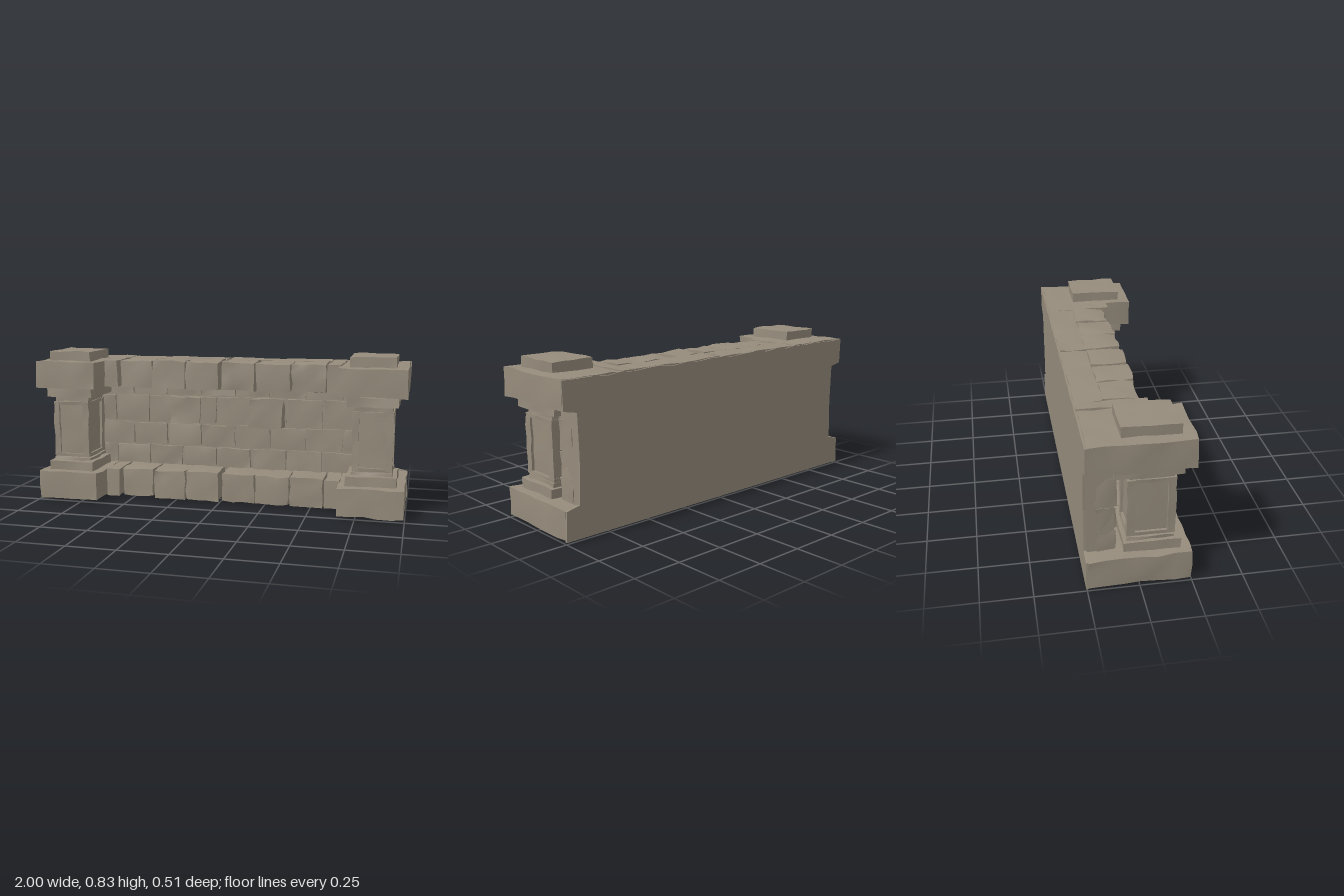
import * as THREE from 'three';
import { toCreasedNormals } from 'three/addons/utils/BufferGeometryUtils.js';

const stone = new THREE.MeshStandardMaterial({ color: 0x968c7c });
stone.name = 'weathered stone';

// Repeatable value 0..1 from a position
function hash(x, y, z) {
  const s = Math.sin(x * 127.1 + y * 311.7 + z * 74.7) * 43758.5453;
  return s - Math.floor(s);
}

// Hewn block between two corners: every surface point is worn slightly inward,
// and edges are worn more than faces
function block(name, x0, x1, y0, y1, z0, z1, wear = 0.007) {
  const lo = [Math.min(x0, x1), y0, z0];
  const hi = [Math.max(x0, x1), y1, z1];
  const size = hi.map((v, i) => v - lo[i]);
  const seg = size.map((s) => Math.max(1, Math.min(6, Math.round(s / 0.065))));
  const geo = new THREE.BoxGeometry(...size, ...seg);
  geo.translate(...lo.map((v, i) => (v + hi[i]) / 2));
  const pos = geo.attributes.position;
  for (let i = 0; i < pos.count; i++) {
    const p = [pos.getX(i), pos.getY(i), pos.getZ(i)].map((v) => Math.round(v * 1e4) / 1e4);
    const side = p.map((v, a) => (Math.abs(v - lo[a]) < 1e-3 ? 1 : Math.abs(v - hi[a]) < 1e-3 ? -1 : 0));
    const onEdge = side.filter((s) => s !== 0).length > 1;
    const q = p.map((v, a) => v + side[a] * wear * (onEdge ? 1 : 0.55) * hash(p[a], p[(a + 1) % 3], p[(a + 2) % 3]));
    pos.setXYZ(i, ...q);
  }
  const mesh = new THREE.Mesh(toCreasedNormals(geo, 0.5), stone);
  mesh.name = name;
  return mesh;
}

// Pillar with sunk panels; s is +1 for the left side and -1 for the right
function pillar(s) {
  const g = new THREE.Group();
  g.name = s > 0 ? 'leftPillar' : 'rightPillar';
  const add = (name, x0, x1, ...rest) => g.add(block(name, s * x0, s * x1, ...rest));
  add('pillarFoot', 0.69, 0.955, 0.16, 0.217, -0.072, 0.205);
  add('pillarLowerNeck', 0.715, 0.935, 0.21, 0.24, -0.058, 0.175, 0.01);
  add('pillarCore', 0.735, 0.917, 0.23, 0.55, -0.042, 0.165, 0.005);
  for (const [x0, x1] of [[0.72, 0.76], [0.892, 0.932]]) {
    add('pillarPost', x0, x1, 0.237, 0.547, 0.135, 0.18);
    add('pillarPost', x0, x1, 0.237, 0.547, -0.057, -0.012);
  }
  for (const y of [0.235, 0.525]) add('pillarRail', 0.722, 0.93, y, y + 0.022, -0.055, 0.178, 0.004);
  add('pillarUpperNeck', 0.725, 0.925, 0.54, 0.578, -0.05, 0.165);
  add('pillarCollar', 0.69, 0.955, 0.57, 0.627, -0.12, 0.207);
  return g;
}

// One full course (base or coping) with stepped-forward ends
function course(name, y0, y1) {
  const g = new THREE.Group();
  g.name = name;
  for (const s of [-1, 1]) {
    g.add(block('endBlock', s * 0.65, s * 1, y0 + 0.008, y1, -0.25, 0.253, 0.01));
    g.add(block('stepBlock', s * 0.575, s * 0.655, y0 + 0.006, y1, -0.25, 0.108));
    g.add(block('innerBack', s * 0.003, s * 0.58, y0 + 0.004, y1, -0.25, -0.105));
    for (let i = 0; i < 3; i++) {
      const a = 0.006 + i * 0.188;
      const front = 0.07 + 0.018 * hash(i, s, y1);
      g.add(block('frontStone', s * a, s * (a + 0.191), y0, y1 + 0.004 * hash(s, i, y0), -0.113, front, 0.012));
    }
  }
  return g;
}

// Wall infill: staggered rows of stones of uneven depth
function wall() {
  const g = new THREE.Group();
  g.name = 'wall';
  g.add(block('wallCore', -0.915, 0.915, 0.15, 0.64, -0.25, -0.11, 0.003));
  const rows = [0.155, 0.275, 0.405, 0.565, 0.635];
  for (let r = 0; r < rows.length - 1; r++) {
    const edges = [-0.92];
    for (let x = r % 2 ? -0.75 : -0.86; x < 0.88; x += 0.2) edges.push(x);
    edges.push(0.92);
    for (let i = 0; i < edges.length - 1; i++) {
      const front = -0.092 + 0.012 * (hash(i, r, 3) - 0.5);
      g.add(block('wallStone', edges[i], edges[i + 1], rows[r], rows[r + 1], -0.2, front, 0.011));
    }
  }
  // Stones that stand proud of the face
  g.add(block('proudStone', 0.13, 0.33, 0.395, 0.57, -0.15, -0.035, 0.014));
  g.add(block('proudStone', -0.34, -0.15, 0.4, 0.565, -0.15, -0.07, 0.014));
  return g;
}

// Smooth flush back with a chipped top edge
function backFace() {
  const s = new THREE.Shape();
  s.moveTo(-1, 0.01);
  for (const [x, y] of [[1, 0.01], [0.995, 0.16], [0.922, 0.175], [0.915, 0.4], [0.922, 0.615], [0.995, 0.63], [1, 0.772]]) s.lineTo(x, y);
  for (let i = 1; i < 24; i++) s.lineTo(1 - i / 12, 0.774 - 0.012 * hash(i, 2, 5));
  for (const [x, y] of [[-1, 0.772], [-0.995, 0.63], [-0.922, 0.615], [-0.915, 0.4], [-0.922, 0.175], [-0.995, 0.16]]) s.lineTo(x, y);
  const geo = new THREE.ExtrudeGeometry(s, { depth: 0.012, bevelEnabled: false });
  geo.translate(0, 0, -0.255);
  const mesh = new THREE.Mesh(geo, stone);
  mesh.name = 'backFace';
  return mesh;
}

export function createModel() {
  const model = new THREE.Group();
  model.name = 'stoneParapet';
  model.add(course('baseCourse', 0, 0.165), course('copingCourse', 0.617, 0.777), wall(), backFace());
  for (const s of [-1, 1]) {
    model.add(pillar(s));
    model.add(block(s > 0 ? 'leftCap' : 'rightCap', s * 0.7, s * 0.938, 0.76, 0.828, -0.09, 0.188));
  }
  return model;
}
